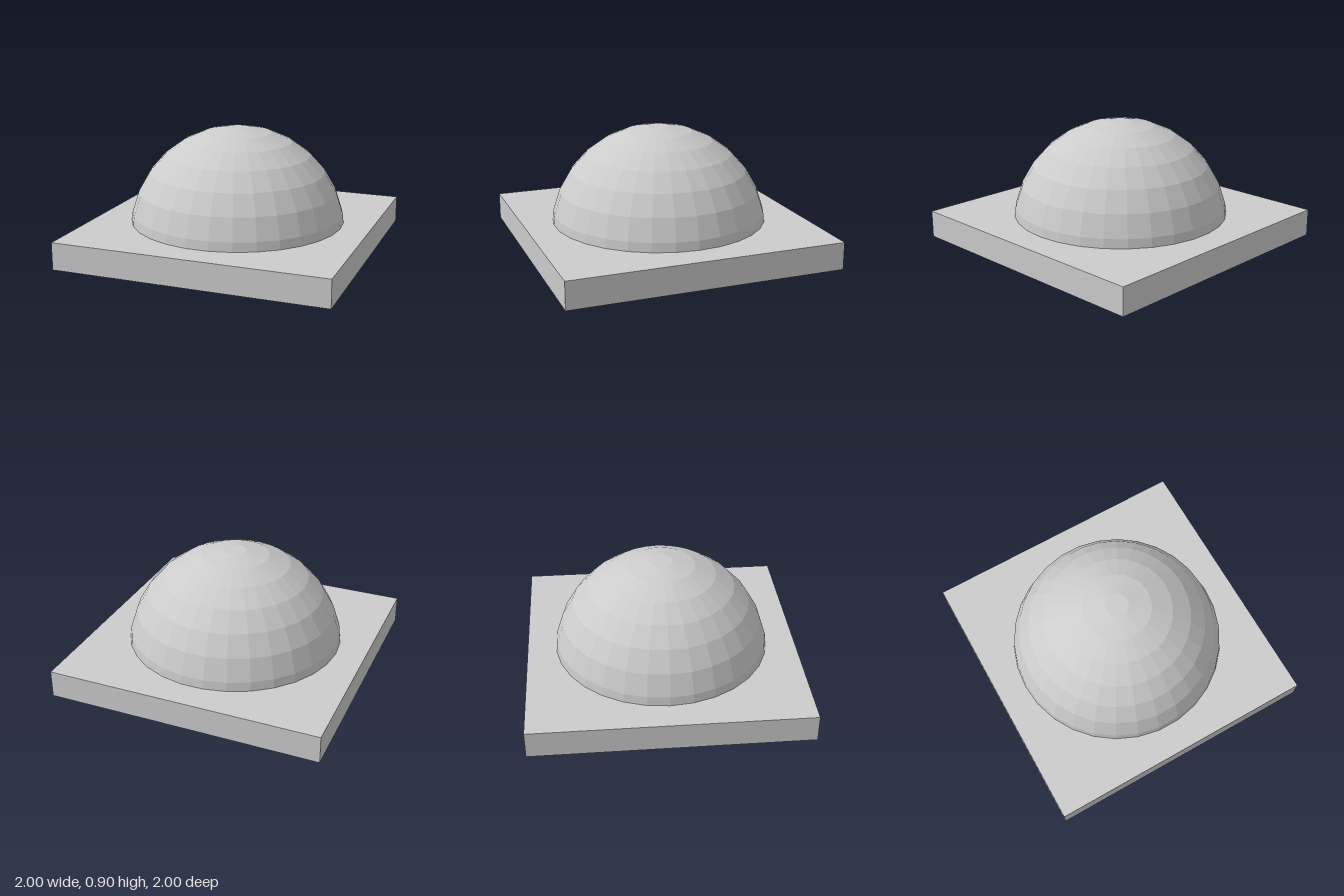
import * as THREE from 'three';

export function createModel() {
  const model = new THREE.Group();
  const material = new THREE.MeshStandardMaterial({ color: 0xcccccc, flatShading: true });

  // Square slab
  const thickness = 0.2;
  const base = new THREE.Mesh(new THREE.BoxGeometry(2, thickness, 2), material);
  base.name = 'base';
  base.position.y = thickness / 2;
  model.add(base);

  // Faceted dome: sphere centred inside the slab, rings every 12 degrees, flat top
  const radius = 0.8;
  const centreY = thickness / 2;
  const sides = 30;
  const profile = [new THREE.Vector2(0.7895, thickness)];
  for (let polar = 78; polar >= 6; polar -= 12) {
    const a = THREE.MathUtils.degToRad(polar);
    profile.push(new THREE.Vector2(radius * Math.sin(a), centreY + radius * Math.cos(a)));
  }
  profile.push(new THREE.Vector2(0, profile[profile.length - 1].y));

  // Start at +x so that a corner lies on the x axis
  const dome = new THREE.Mesh(new THREE.LatheGeometry(profile, sides, Math.PI / 2), material);
  dome.name = 'dome';
  model.add(dome);

  return model;
}
